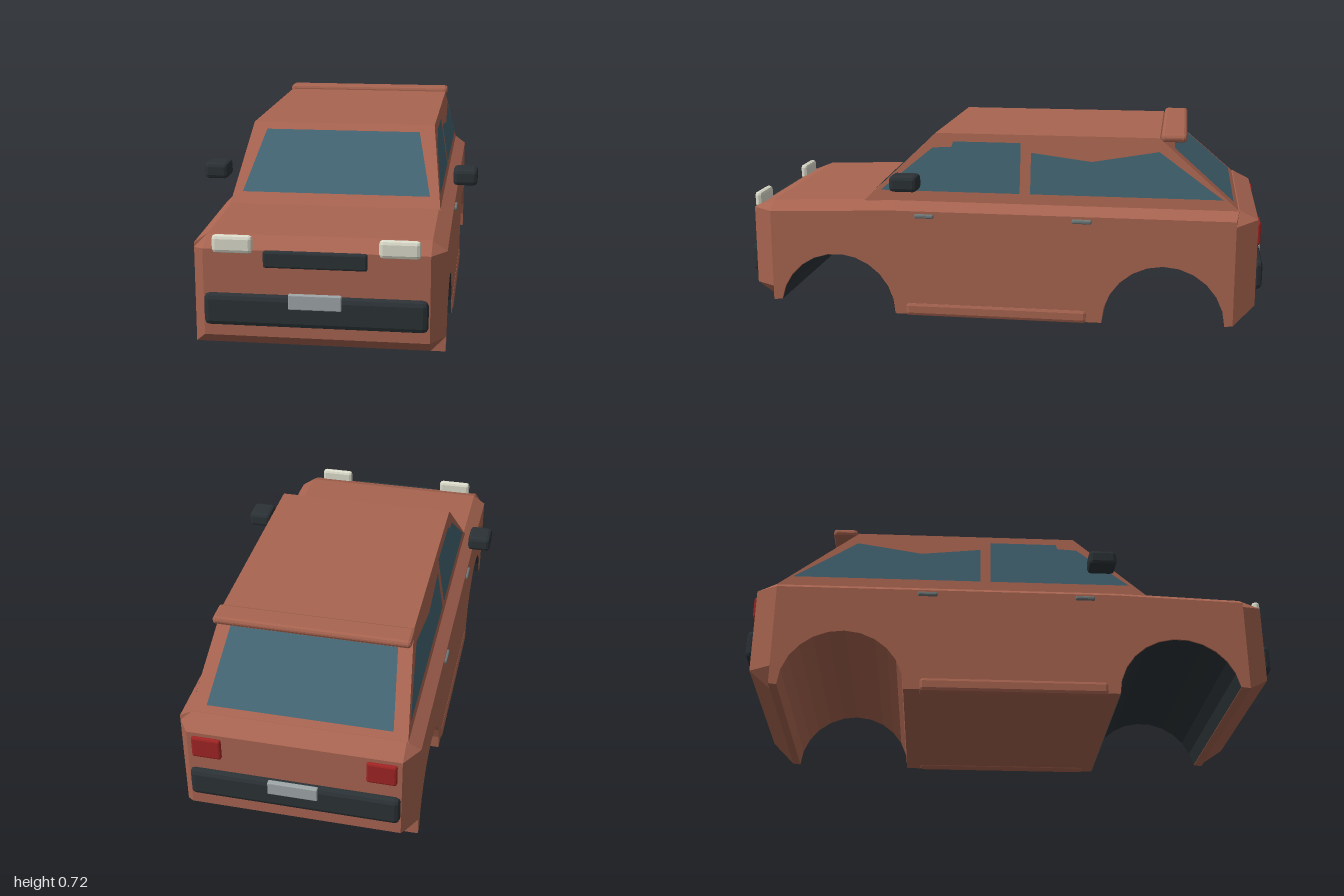
import * as THREE from 'three';
import { RoundedBoxGeometry } from 'three/addons/geometries/RoundedBoxGeometry.js';

const material = (color, side = THREE.FrontSide) =>
  new THREE.MeshStandardMaterial({ color, side, flatShading: true });

export function createModel() {
  const car = new THREE.Group();
  car.name = 'car';
  const paint = material(0xa86450);
  const dark = material(0x2b3236);
  const darkOpen = material(0x2b3236, THREE.DoubleSide);
  const glass = material(0x426472, THREE.DoubleSide);
  const lamp = material(0xdcdccc);
  const red = material(0xa02424);
  const plate = material(0xa0a8aa);
  const chrome = material(0x707878);

  const add = (name, geometry, mat) => {
    const mesh = new THREE.Mesh(geometry, mat);
    mesh.name = name;
    car.add(mesh);
    return mesh;
  };
  // Chamfered block given by its extents
  const block = (name, mat, [x0, x1], [y0, y1], [z0, z1], chamfer) => {
    const g = new RoundedBoxGeometry(x1 - x0, y1 - y0, z1 - z0, 1, chamfer);
    g.translate((x0 + x1) / 2, (y0 + y1) / 2, (z0 + z1) / 2);
    return add(name, g, mat);
  };
  // Move every vertex by a rule
  const warp = (g, rule) => {
    const p = g.attributes.position;
    for (let i = 0; i < p.count; i++) p.setXYZ(i, ...rule(p.getX(i), p.getY(i), p.getZ(i)));
    g.computeVertexNormals();
    return g;
  };

  // Wheel arch points as [z, y], from the front foot to the rear foot
  const arch = (centre, from, to, r = 0.23) =>
    Array.from({ length: 13 }, (_, i) => {
      const a = from + ((to - from) * i) / 12;
      return [centre + r * Math.cos(a), 0.01 + r * Math.sin(a)];
    });

  // Lower body: side profile swept across, outer rings pulled in as chamfers
  const profile = [
    [-0.9, 0.455], [0.4, 0.455], [0.89, 0.437], [0.97, 0.405], [0.97, 0.1], [0.89, 0.045],
    ...arch(0.63, 0.17, Math.PI),
    ...arch(-0.63, 0, Math.PI - 0.03),
    [-0.89, 0.02], [-0.97, 0.09], [-0.97, 0.42],
  ];
  const bodyGeometry = new THREE.ExtrudeGeometry(
    new THREE.Shape(profile.map(([z, y]) => new THREE.Vector2(z, y))),
    { depth: 3, steps: 3, bevelEnabled: false });
  bodyGeometry.rotateY(-Math.PI / 2);
  const ringX = [0.435, 0.385, -0.385, -0.435];
  warp(bodyGeometry, (x, y, z) => {
    const ring = Math.round(-x);
    const outer = ring === 0 || ring === 3;
    if (outer) {
      z = THREE.MathUtils.clamp(z, -0.89, 0.89);
      if (y > 0.43) y -= 0.035;
      else if (y > 0.35) y -= 0.02;
    }
    return [ringX[ring], y, z];
  });
  add('body', bodyGeometry, paint);

  // Dark lining of the front wheel arch
  const lining = new THREE.PlaneGeometry(0.866, 1, 1, 12);
  const liningPath = arch(0.63, 0.17, Math.PI, 0.228);
  warp(lining, (x, y) => {
    const [z, h] = liningPath[Math.round((0.5 - y) * 12)];
    return [x, h, z];
  });
  add('frontArchLining', lining, darkOpen);

  // Cabin: tapered box
  const cabin = warp(new THREE.BoxGeometry(2, 2, 2), (x, y, z) =>
    y > 0
      ? [x * 0.35, 0.71, z > 0 ? 0.25 : -0.6]
      : [x * 0.391, 0.447, z > 0 ? 0.525 : -0.905]);
  add('cabin', cabin, paint);

  // Window panes laid on the sloping cabin faces
  const rise = (y) => (y - 0.447) / 0.263;
  const pane = (name, points, place) =>
    add(name, warp(new THREE.ShapeGeometry(
      new THREE.Shape(points.map(([a, b]) => new THREE.Vector2(a, b)))), place), glass);

  pane('windscreen', [[-0.35, 0.485], [0.35, 0.485], [0.295, 0.685], [-0.295, 0.685]],
    (x, y) => [x, y + 0.003, 0.528 - 0.275 * rise(y)]);
  pane('rearWindow', [[0.335, 0.472], [-0.335, 0.472], [-0.305, 0.665], [0.305, 0.665]],
    (x, y) => [x, y + 0.003, -0.908 + 0.305 * rise(y)]);

  const frontPane = [[0.46, 0.49], [0.26, 0.655], [0.185, 0.66], [0.18, 0.68], [-0.08, 0.68], [-0.08, 0.49]];
  const rearPane = [[-0.12, 0.49], [-0.12, 0.645], [-0.35, 0.617], [-0.6, 0.66], [-0.84, 0.49]];
  const span = (s, a, b) => (s > 0 ? [a, b] : [-b, -a]);

  for (const [side, s] of [['left', 1], ['right', -1]]) {
    const place = (z, y) => [s * (0.394 - 0.041 * rise(y)), y, z];
    pane(side + 'FrontWindow', frontPane, place);
    pane(side + 'RearWindow', rearPane, place);

    block(side + 'Mirror', dark, span(s, 0.43, 0.52), [0.51, 0.57], [0.29, 0.395], 0.014);
    block(side + 'Sill', paint, span(s, 0.385, 0.44), [0.003, 0.058], [-0.345, 0.36], 0.014);
    block(side + 'FrontHandle', chrome, span(s, 0.425, 0.445), [0.394, 0.41], [0.243, 0.318], 0.005);
    block(side + 'RearHandle', chrome, span(s, 0.425, 0.445), [0.394, 0.41], [-0.358, -0.283], 0.005);
    block(side + 'Headlight', lamp, span(s, 0.213, 0.352), [0.393, 0.456], [0.953, 0.983], 0.013);
    block(side + 'TailLight', red, span(s, 0.26, 0.368), [0.318, 0.405], [-0.982, -0.955], 0.008);
  }

  // Front and rear fittings
  block('grille', dark, [-0.177, 0.175], [0.348, 0.406], [0.955, 0.985], 0.007);
  block('frontBumper', dark, [-0.382, 0.38], [0.14, 0.252], [0.95, 0.994], 0.018);
  block('rearBumper', dark, [-0.382, 0.38], [0.148, 0.26], [-0.994, -0.95], 0.018);
  block('frontPlate', plate, [-0.09, 0.09], [0.21, 0.262], [0.98, 1], 0.003);
  block('rearPlate', plate, [-0.09, 0.09], [0.21, 0.262], [-1, -0.98], 0.003);
  block('spoiler', paint, [-0.358, 0.358], [0.696, 0.726], [-0.7, -0.605], 0.012);

  return car;
}
